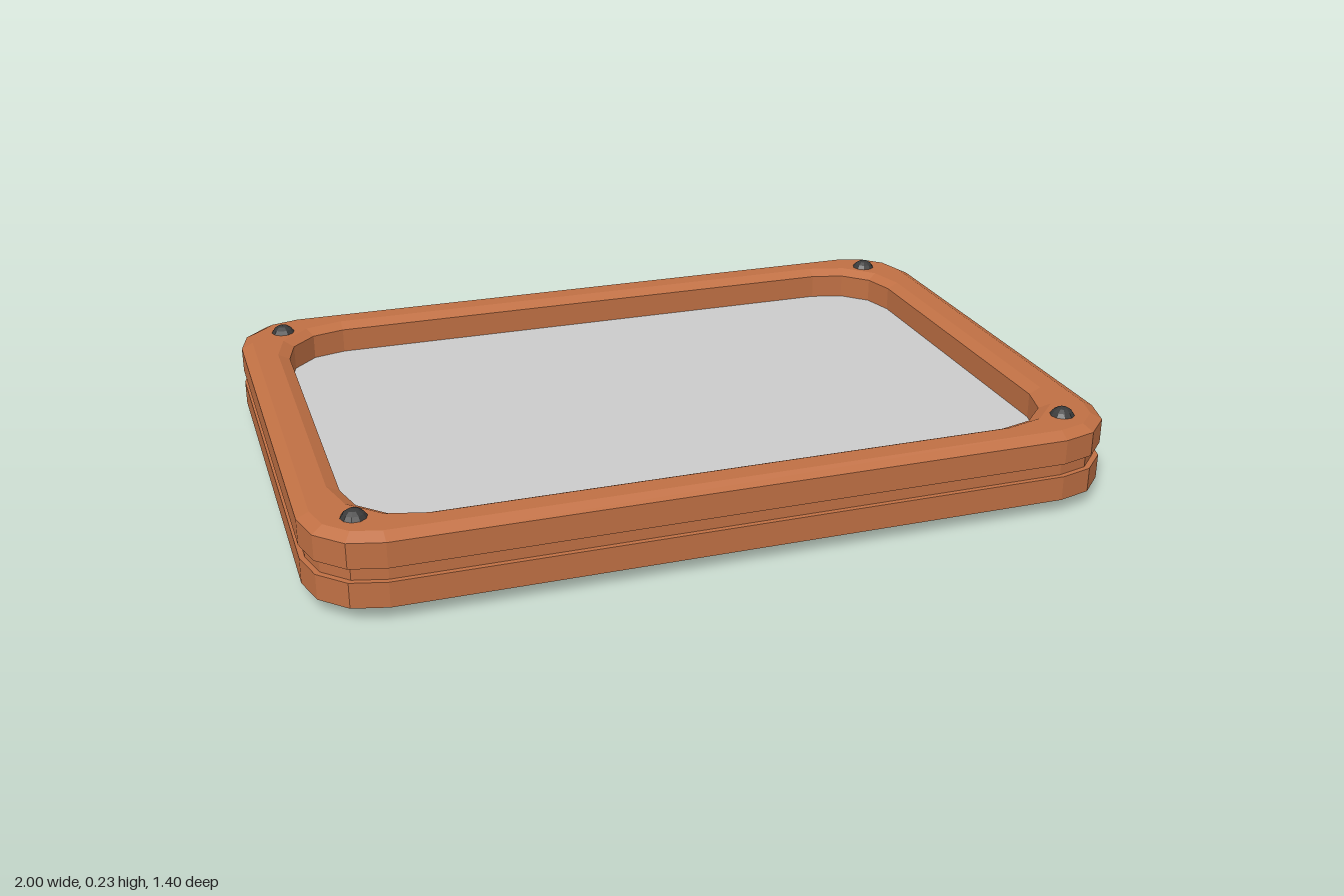
import * as THREE from 'three';

const wood = new THREE.MeshStandardMaterial({ color: 0xc07044, flatShading: true });
const grey = new THREE.MeshStandardMaterial({ color: 0xcccccc, flatShading: true });
const dark = new THREE.MeshStandardMaterial({ color: 0x3a3a3a, flatShading: true });

const MID = 0.115; // height of the middle plane

// Outline of a rectangle with three-sided rounded corners, running from +x towards +z
function outline(hx, hz, r) {
  const pts = [];
  [[1, 1], [-1, 1], [-1, -1], [1, -1]].forEach(([sx, sz], q) => {
    for (let k = 0; k <= 3; k++) {
      const a = (q + k / 3) * Math.PI / 2;
      pts.push([sx * (hx - r) + r * Math.cos(a), sz * (hz - r) + r * Math.sin(a)]);
    }
  });
  return pts;
}

// Closed ring skinned through outlines [hx, hz, radius, y], ordered up the outside, down the inside
function ring(sections) {
  const loops = sections.map(([hx, hz, r, y]) => outline(hx, hz, r).map(([x, z]) => [x, y, z]));
  const pos = [];
  loops.forEach((low, i) => {
    const up = loops[(i + 1) % loops.length];
    low.forEach((a, j) => {
      const n = (j + 1) % low.length;
      const b = low[n], c = up[n], d = up[j];
      pos.push(...a, ...d, ...b, ...b, ...d, ...c);
    });
  });
  const geo = new THREE.BufferGeometry();
  geo.setAttribute('position', new THREE.Float32BufferAttribute(pos, 3));
  geo.computeVertexNormals();
  return geo;
}

export function createModel() {
  const group = new THREE.Group();
  const add = (name, geo, mat) => {
    const mesh = new THREE.Mesh(geo, mat);
    mesh.name = name;
    group.add(mesh);
    return mesh;
  };

  // Upper and lower frames: straight walls with a bevel on both outer-face edges
  const half = [
    [1, 0.702, 0.17, 0.017],
    [1, 0.702, 0.17, 0.08],
    [0.97, 0.672, 0.14, 0.095],
    [0.915, 0.62, 0.2, 0.095],
    [0.885, 0.59, 0.17, 0.08],
    [0.885, 0.59, 0.17, 0.017],
  ];
  add('upperFrame', ring(half.map(([x, z, r, y]) => [x, z, r, MID + y])), wood);
  add('lowerFrame', ring(half.map(([x, z, r, y]) => [x, z, r, MID - y]).reverse()), wood);

  // Recessed spacer between the frames
  add('spacer', ring([
    [0.987, 0.689, 0.16, MID - 0.017],
    [0.987, 0.689, 0.16, MID + 0.017],
    [0.885, 0.59, 0.17, MID + 0.017],
    [0.885, 0.59, 0.17, MID - 0.017],
  ]), wood);

  // Flat panel filling the opening
  const shape = new THREE.Shape(outline(0.885, 0.59, 0.17).map(([x, z]) => new THREE.Vector2(x, z)));
  const panel = new THREE.ExtrudeGeometry(shape, { depth: 0.032, bevelEnabled: false });
  panel.translate(0, 0, -0.016).rotateX(Math.PI / 2).translate(0, MID, 0);
  add('panel', panel, grey);

  // Round screw heads on both faces of each corner
  const head = new THREE.SphereGeometry(0.034, 10, 8);
  for (const x of [-0.88, 0.88])
    for (const z of [-0.588, 0.588])
      for (const s of [-1, 1])
        add(s > 0 ? 'topScrew' : 'bottomScrew', head, dark).position.set(x, MID + s * 0.081, z);

  return group;
}
